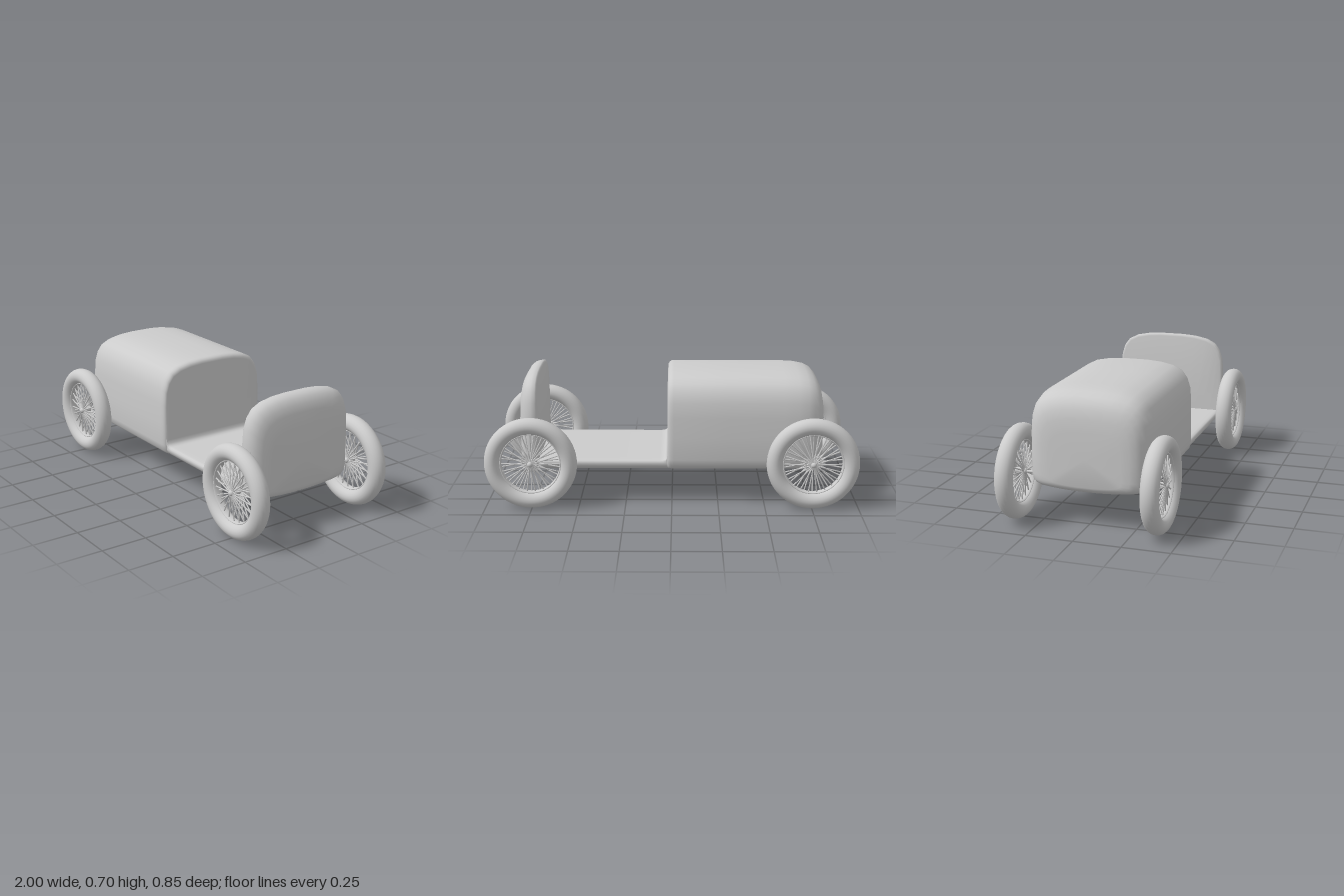
import * as THREE from 'three';
import { mergeGeometries, toCreasedNormals } from 'three/addons/utils/BufferGeometryUtils.js';

const material = new THREE.MeshStandardMaterial({ color: 0xcccccc, roughness: 0.8 });

function mesh(name, geometry) {
  const m = new THREE.Mesh(geometry, material);
  m.name = name;
  return m;
}

// Half cross-sections as [z, y], bottom centre to top centre, same point count
const FULL = [
  [0, 0.168], [0.07, 0.168], [0.15, 0.172], [0.22, 0.178], [0.27, 0.186], [0.3, 0.196],
  [0.318, 0.215], [0.325, 0.25], [0.325, 0.37], [0.324, 0.48], [0.318, 0.56], [0.3, 0.615],
  [0.27, 0.655], [0.22, 0.68], [0.15, 0.694], [0.07, 0.7], [0, 0.7],
];
const FLOOR = [
  [0, 0.168], [0.07, 0.168], [0.15, 0.172], [0.22, 0.178], [0.265, 0.186], [0.292, 0.196],
  [0.305, 0.21], [0.309, 0.224], [0.307, 0.234], [0.3, 0.24], [0.285, 0.242], [0.25, 0.242],
  [0.2, 0.242], [0.15, 0.242], [0.1, 0.242], [0.05, 0.242], [0, 0.242],
];

function ring(half, place) {
  const mirrored = half.slice(1, -1).reverse().map(([z, y]) => [-z, y]);
  return [...half, ...mirrored].map(([z, y]) => place(z, y));
}

// Full-height section scaled to a half width, bottom and top
const fullRing = ([x, width, bottom, top]) => ring(FULL, (z, y) =>
  [x, bottom + (y - 0.168) * (top - bottom) / 0.532, z * width / 0.325]);

// Floor section whose upper side is lifted to form the fillet
const floorRing = ([x, lift]) => ring(FLOOR, (z, y) => [x, y > 0.23 ? y + lift : y, z]);

// Hood from its rounded nose to the cabin edge: [x, half width, bottom, top]
const HOOD = [
  [-0.82, 0.19, 0.215, 0.5], [-0.816, 0.232, 0.203, 0.565], [-0.806, 0.262, 0.192, 0.612],
  [-0.79, 0.285, 0.183, 0.645], [-0.765, 0.303, 0.175, 0.671], [-0.73, 0.315, 0.17, 0.687],
  [-0.68, 0.322, 0.168, 0.696], [-0.6, 0.325, 0.168, 0.7], [-0.3, 0.325, 0.168, 0.7],
  [-0.01, 0.325, 0.168, 0.7], [0.005, 0.323, 0.168, 0.698], [0.015, 0.319, 0.168, 0.692],
  [0.021, 0.314, 0.168, 0.684], [0.023, 0.309, 0.168, 0.674],
];
// Floor: [x, lift]
const DECK = [
  [0.0245, 0.035], [0.028, 0.017], [0.036, 0.006], [0.05, 0.001], [0.065, 0], [0.4, 0], [0.719, 0],
];
// Upright end panel
const PANEL = [
  [0.72, 0.312, 0.168, 0.686], [0.723, 0.319, 0.168, 0.695], [0.73, 0.324, 0.168, 0.7],
  [0.75, 0.324, 0.168, 0.699], [0.77, 0.318, 0.171, 0.693], [0.788, 0.307, 0.176, 0.678],
  [0.804, 0.288, 0.183, 0.65], [0.814, 0.258, 0.192, 0.61], [0.82, 0.205, 0.21, 0.53],
];

function bodyGeometry() {
  const rings = [...HOOD.map(fullRing), ...DECK.map(floorRing), ...PANEL.map(fullRing)];
  const n = rings[0].length;
  const positions = rings.flat(2);
  const index = [];
  for (let i = 0; i < rings.length - 1; i++) {
    for (let j = 0; j < n; j++) {
      const a = i * n + j, c = i * n + (j + 1) % n;
      index.push(a, a + n, c, c, a + n, c + n);
    }
  }
  // end caps
  const centre = rings.length * n;
  const last = centre - n;
  positions.push(-0.821, 0.36, 0, 0.821, 0.36, 0);
  for (let j = 0; j < n; j++) {
    const k = (j + 1) % n;
    index.push(centre, j, k, centre + 1, last + k, last + j);
  }
  const g = new THREE.BufferGeometry();
  g.setAttribute('position', new THREE.Float32BufferAttribute(positions, 3));
  g.setIndex(index);
  // creasing merges points within 0.01, so do it at a larger scale
  return toCreasedNormals(g.scale(50, 50, 50), 0.9).scale(0.02, 0.02, 0.02);
}

// Thin rod between two points
function rod(from, to, radius) {
  const dir = to.clone().sub(from);
  const g = new THREE.CylinderGeometry(radius, radius, dir.length(), 6, 1);
  g.applyQuaternion(new THREE.Quaternion().setFromUnitVectors(new THREE.Vector3(0, 1, 0), dir.normalize()));
  const mid = from.clone().add(to).multiplyScalar(0.5);
  return g.translate(mid.x, mid.y, mid.z);
}

// Wire spokes running from both hub flanges to the rim
function spokesGeometry() {
  const spokes = [];
  const count = 44;
  for (let i = 0; i < count; i++) {
    const a = (i / count) * Math.PI * 2;
    const side = i % 2 ? 1 : -1;
    const c = Math.cos(a), s = Math.sin(a);
    spokes.push(rod(
      new THREE.Vector3(c * 0.012, s * 0.012, side * 0.026),
      new THREE.Vector3(c * 0.161, s * 0.161, side * 0.006), 0.0038));
  }
  return mergeGeometries(spokes);
}

const tireGeometry = new THREE.TorusGeometry(0.2038, 0.0442, 20, 64).scale(1, 1, 1.075);
const rimGeometry = new THREE.TorusGeometry(0.161, 0.006, 12, 64).scale(1, 1, 3.5);
const hubGeometry = new THREE.CapsuleGeometry(0.016, 0.05, 6, 16).rotateX(Math.PI / 2);

function createWheel(name, spokes) {
  const wheel = new THREE.Group();
  wheel.name = name;
  wheel.add(mesh('tire', tireGeometry), mesh('rim', rimGeometry),
    mesh('hub', hubGeometry), mesh('spokes', spokes));
  return wheel;
}

export function createModel() {
  const model = new THREE.Group();
  model.name = 'openCar';
  model.add(mesh('body', bodyGeometry()));

  const spokes = spokesGeometry();
  for (const sx of [-1, 1]) {
    const end = sx < 0 ? 'hoodEnd' : 'panelEnd';
    const axle = mesh(end + 'Axle', new THREE.CylinderGeometry(0.007, 0.007, 0.75, 12).rotateX(Math.PI / 2));
    axle.position.set(sx * 0.752, 0.248, 0);
    model.add(axle);
    for (const sz of [-1, 1]) {
      const wheel = createWheel(end + (sz > 0 ? 'NearWheel' : 'FarWheel'), spokes);
      wheel.position.set(sx * 0.752, 0.248, sz * 0.378);
      model.add(wheel);
    }
  }
  return model;
}
